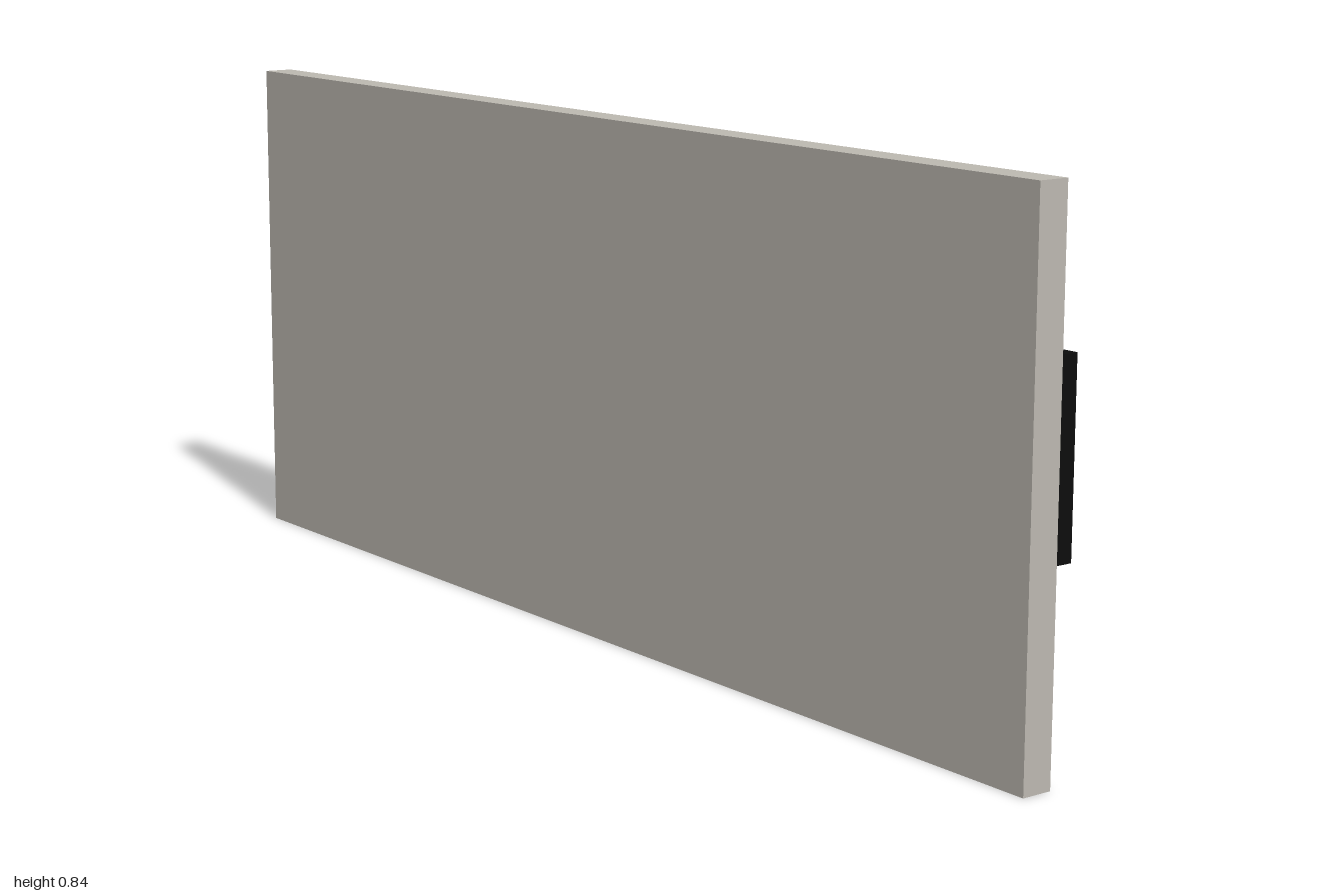
import * as THREE from 'three';

const PANEL_BACK = -0.039, PANEL_FRONT = 0.012, TRIM_FRONT = 0.039;

export function createModel() {
  const group = new THREE.Group();
  const panelMaterial = new THREE.MeshStandardMaterial({ color: 0xbebab2 });
  panelMaterial.name = 'warm grey';
  const trimMaterial = new THREE.MeshStandardMaterial({ color: 0x0d0d0d });
  trimMaterial.name = 'black';

  const add = (name, geometry, material) => {
    const mesh = new THREE.Mesh(geometry, material);
    mesh.name = name;
    group.add(mesh);
    return mesh;
  };

  // Box given by its limits on each axis
  const box = (x0, x1, y0, y1, z0, z1) =>
    new THREE.BoxGeometry(x1 - x0, y1 - y0, z1 - z0)
      .translate((x0 + x1) / 2, (y0 + y1) / 2, (z0 + z1) / 2);

  const rectangle = (Type, z0, z1, y0, y1) => new Type([
    new THREE.Vector2(-z0, y0), new THREE.Vector2(-z0, y1),
    new THREE.Vector2(-z1, y1), new THREE.Vector2(-z1, y0),
  ]);

  // Upright panel
  add('panel', box(PANEL_BACK, PANEL_FRONT, 0, 0.843, -1, 1), panelMaterial);

  // Long bar across the middle
  add('centreBar', box(PANEL_FRONT, TRIM_FRONT, 0.29, 0.423, -0.5, 0.5), trimMaterial);

  // Open rectangular frame near each end
  for (const [name, side] of [['frontFrame', 1], ['rearFrame', -1]]) {
    const outline = rectangle(THREE.Shape, side * 0.58, side, 0.317, 0.607);
    outline.holes.push(rectangle(THREE.Path, side * 0.656, side * 0.947, 0.37, 0.553));
    const geometry = new THREE.ExtrudeGeometry(outline, {
      depth: TRIM_FRONT - PANEL_FRONT, bevelEnabled: false,
    });
    geometry.rotateY(Math.PI / 2).translate(PANEL_FRONT, 0, 0);
    add(name, geometry, trimMaterial);
  }

  return group;
}
